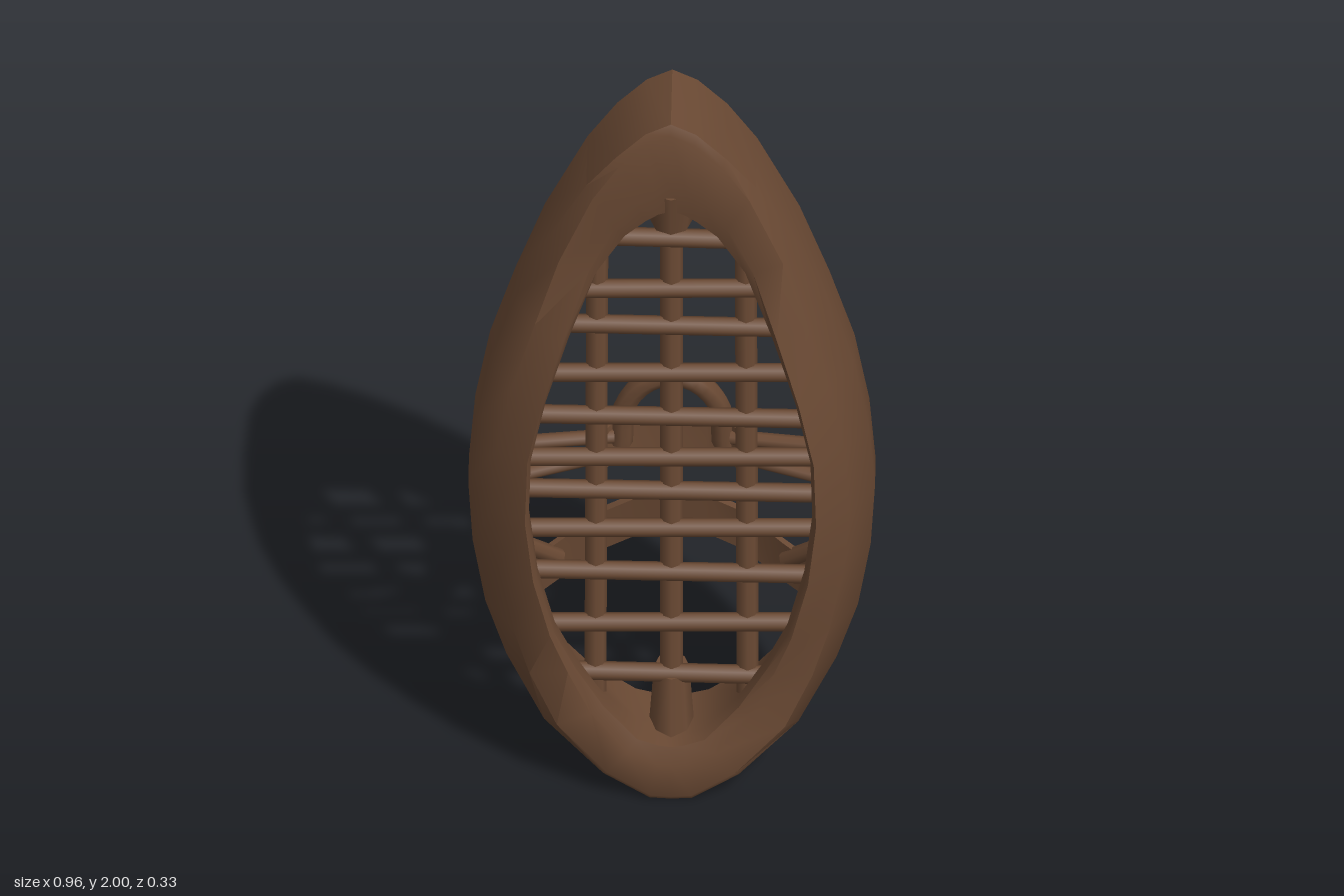
import * as THREE from 'three';
import { toCreasedNormals } from 'three/addons/utils/BufferGeometryUtils.js';

const V = (x, y, z) => new THREE.Vector3(x, y, z);

// Skin a list of equal-length closed sections; wrap joins the last to the first.
function loft(rings, wrap, crease = 0.75) {
  const n = rings[0].length, pos = [], idx = [];
  for (const r of rings) for (const p of r) pos.push(p.x, p.y, p.z);
  const last = wrap ? rings.length : rings.length - 1;
  for (let i = 0; i < last; i++) {
    for (let j = 0; j < n; j++) {
      const k = (i + 1) % rings.length, m = (j + 1) % n;
      const a = i * n + j, b = k * n + j, c = i * n + m, d = k * n + m;
      idx.push(a, b, c, b, d, c);
    }
  }
  const g = new THREE.BufferGeometry();
  g.setAttribute('position', new THREE.Float32BufferAttribute(pos, 3));
  g.setIndex(idx);
  return toCreasedNormals(g, crease);
}

// Flat band following points from -x to +x, closed at both ends.
function band(points, halfHeight, thickness, lean) {
  const rings = points.map(([x, y, z]) => {
    const corner = (s, t) => V(x, y + s * halfHeight, z + s * halfHeight * lean + t * thickness / 2);
    return [corner(1, -1), corner(-1, -1), corner(-1, 1), corner(1, 1)];
  });
  const cap = ([x, y, z]) => Array.from({ length: 4 }, () => V(x, y, z));
  return loft([cap(points[0]), ...rings, cap(points[points.length - 1])], false);
}

// Frame stations up the left side: outer x, y, inner x, y, crest z, shell hollowness.
const STATIONS = [
  [0, 0, 0, 0.15, 0.122, 0],
  [0.05, 0.003, 0.03, 0.155, 0.122, 0],
  [0.16, 0.07, 0.08, 0.17, 0.118, 0.05],
  [0.30, 0.20, 0.16, 0.26, 0.108, 0.4],
  [0.39, 0.36, 0.225, 0.38, 0.12, 0.8],
  [0.44, 0.50, 0.275, 0.50, 0.14, 1],
  [0.47, 0.68, 0.315, 0.67, 0.155, 1],
  [0.48, 0.85, 0.335, 0.85, 0.163, 1],
  [0.465, 1.03, 0.33, 1.03, 0.163, 1],
  [0.43, 1.22, 0.295, 1.20, 0.16, 1],
  [0.37, 1.41, 0.24, 1.38, 0.14, 0.9],
  [0.30, 1.60, 0.175, 1.55, 0.108, 0.6],
  [0.20, 1.80, 0.11, 1.66, 0.115, 0.2],
  [0.13, 1.90, 0.06, 1.71, 0.122, 0],
  [0.06, 1.97, 0.03, 1.73, 0.122, 0],
  [0, 2, 0, 1.74, 0.122, 0],
];

function frameGeometry() {
  const mix = THREE.MathUtils.lerp;
  const mirrored = STATIONS.slice(1, -1).reverse().map(([a, b, c, ...r]) => [-a, b, -c, ...r]);
  const rings = [...STATIONS, ...mirrored].map(([xo, yo, xi, yi, zp, e]) => {
    const at = (t, z) => V(mix(xo, xi, t), mix(yo, yi, t), z);
    return [
      at(0, -0.105),
      at(0, mix(0.11, 0.0, e)),
      at(mix(0.1, 0.4, e), mix(zp, 0.105, e)),
      at(mix(0.7, 0.94, e), zp),
      at(1, zp - 0.015),
      at(1, zp - 0.06),
      at(mix(1, 0.86, e), 0.02),
      at(mix(0.95, 0.35, e), -0.105),
    ];
  });
  return loft(rings, true);
}

// Half-width of the opening at a given height.
function openingAt(y) {
  for (let i = 1; i < STATIONS.length; i++) {
    const [, , x0, y0] = STATIONS[i - 1], [, , x1, y1] = STATIONS[i];
    if (y <= y1) return THREE.MathUtils.mapLinear(y, y0, y1, x0, x1);
  }
  return 0;
}

export function createModel() {
  const model = new THREE.Group();
  model.name = 'snowshoe';
  const wood = new THREE.MeshStandardMaterial({ color: 0x6b4a34 });
  wood.name = 'brown wood';

  const add = (name, geometry, parent = model) => {
    const mesh = new THREE.Mesh(geometry, wood);
    mesh.name = name;
    parent.add(mesh);
    return mesh;
  };
  const rod = (name, a, b, radius, parent) => {
    const dir = b.clone().sub(a);
    const mesh = add(name, new THREE.CylinderGeometry(radius, radius, dir.length(), 8), parent);
    mesh.position.copy(a).add(b).multiplyScalar(0.5);
    mesh.quaternion.setFromUnitVectors(V(0, 1, 0), dir.normalize());
  };

  add('frame', frameGeometry());

  // Woven lattice
  const lattice = new THREE.Group();
  lattice.name = 'lattice';
  model.add(lattice);
  [0.31, 0.46, 0.61, 0.74, 0.85, 0.95, 1.07, 1.2, 1.34, 1.45, 1.6].forEach((y, i) => {
    const w = openingAt(y) + 0.03, tilt = (i % 2 ? 1 : -1) * 0.004;
    rod('crossBar', V(-w, y - tilt, 0.025), V(w, y + tilt, 0.025), 0.023, lattice);
  });
  for (const s of [-1, 1]) rod('sideBar', V(s * 0.18, 0.2, 0.01), V(s * 0.175, 1.62, 0.01), 0.026, lattice);
  rod('centreBar', V(0, 0.14, 0.01), V(0, 1.74, 0.01), 0.027, lattice);

  // Lashing blocks at the tip and the tail
  const tip = add('tipBlock', new THREE.CylinderGeometry(0.07, 0.05, 0.12, 8));
  tip.scale.z = 1.2;
  tip.position.set(0, 1.725, 0.04);
  const tail = add('tailBlock', new THREE.CylinderGeometry(0.042, 0.055, 0.19, 8));
  tail.scale.z = 1.3;
  tail.position.set(0, 0.215, 0);

  // Binding: heel strap, toe band, toe loop and side ties
  add('heelStrap', band([
    [-0.35, 0.53, -0.03], [-0.27, 0.55, -0.1], [-0.17, 0.605, -0.145], [-0.08, 0.655, -0.142],
    [0.08, 0.66, -0.142], [0.17, 0.61, -0.145], [0.26, 0.555, -0.1], [0.35, 0.53, -0.03],
  ], 0.065, 0.022, 0.2));
  add('toeBand', band([
    [-0.16, 0.905, -0.07], [-0.13, 0.905, -0.115], [-0.08, 0.905, -0.132],
    [0.08, 0.905, -0.132], [0.13, 0.905, -0.115], [0.16, 0.905, -0.07],
  ], 0.058, 0.03, 0));
  const arch = new THREE.CatmullRomCurve3([
    V(-0.12, 0.9, -0.1), V(-0.11, 1.02, -0.085), V(-0.06, 1.1, -0.07), V(0, 1.125, -0.065),
    V(0.06, 1.1, -0.07), V(0.11, 1.02, -0.085), V(0.12, 0.9, -0.1),
  ]);
  add('toeLoop', new THREE.TubeGeometry(arch, 20, 0.027, 8));
  for (const s of [-1, 1]) {
    rod('sideTie', V(s * 0.14, 0.93, -0.08), V(s * 0.39, 0.95, -0.02), 0.018);
    rod('sideTie', V(s * 0.14, 0.88, -0.08), V(s * 0.39, 0.85, -0.02), 0.018);
    rod('heelTie', V(s * 0.27, 0.57, -0.08), V(s * 0.35, 0.66, -0.01), 0.022);
  }
  return model;
}
